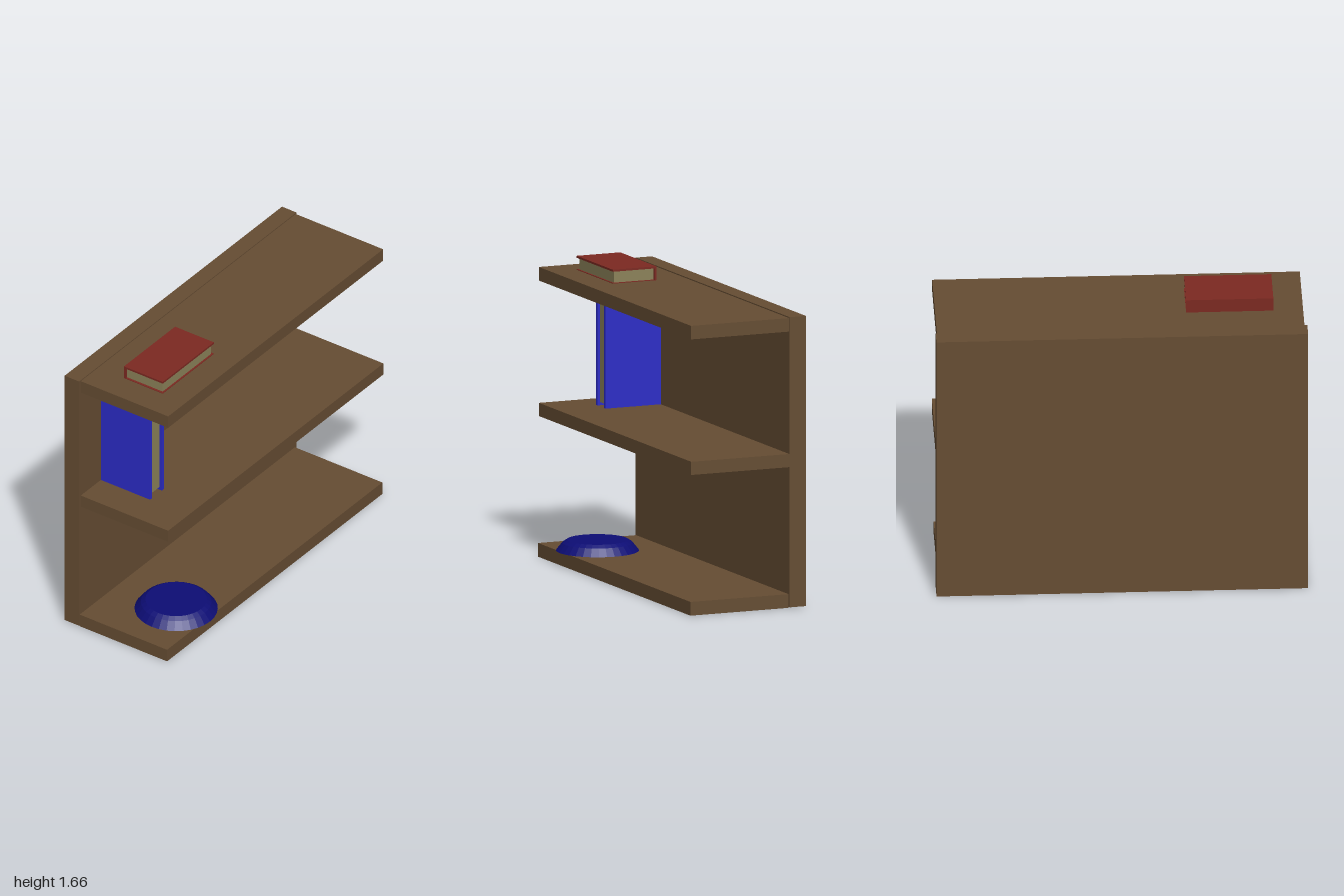
import * as THREE from 'three';

const mat = (name, color) => {
  const m = new THREE.MeshStandardMaterial({ color });
  m.name = name;
  return m;
};

// Box given by its [min, max] extents on each axis
function box(name, material, [x0, x1], [y0, y1], [z0, z1]) {
  const mesh = new THREE.Mesh(new THREE.BoxGeometry(x1 - x0, y1 - y0, z1 - z0), material);
  mesh.position.set((x0 + x1) / 2, (y0 + y1) / 2, (z0 + z1) / 2);
  mesh.name = name;
  return mesh;
}

function group(name, ...parts) {
  const g = new THREE.Group();
  g.name = name;
  g.add(...parts);
  return g;
}

export function createModel() {
  const wood = mat('brown wood', 0x664d33);
  const red = mat('red cover', 0x7c2921);
  const blue = mat('blue cover', 0x2c2cc8);
  const paper = mat('cream paper', 0x8c8259);
  const navy = mat('navy glaze', 0x0d0d75);

  // Back board and three shelves
  const shelves = [
    ['bottomShelf', -0.995, 0.985, 0, 0.075],
    ['middleShelf', -0.985, 0.995, 0.77, 0.842],
    ['topShelf', -0.985, 0.993, 1.51, 1.584],
  ].map(([name, x0, x1, y0, y1]) => box(name, wood, [x0, x1], [y0, y1], [-0.256, 0.323]));
  const bookcase = group('bookcase',
    box('backBoard', wood, [-1, 1], [0.005, 1.59], [-0.352, -0.256]), ...shelves);

  // Upright book with its spine to the back board
  const uprightBook = group('uprightBook',
    box('leftCover', blue, [-0.692, -0.674], [0.842, 1.466], [-0.256, 0.07]),
    box('rightCover', blue, [-0.8, -0.782], [0.842, 1.466], [-0.256, 0.07]),
    box('spine', blue, [-0.782, -0.692], [0.842, 1.466], [-0.256, -0.24]),
    box('pages', paper, [-0.782, -0.692], [0.86, 1.452], [-0.24, 0.055]));

  // Book lying on the top shelf with its spine to the back
  const lyingBook = group('lyingBook',
    box('topCover', red, [-0.825, -0.355], [1.649, 1.66], [-0.085, 0.172]),
    box('bottomCover', red, [-0.825, -0.355], [1.576, 1.587], [-0.085, 0.172]),
    box('spine', red, [-0.825, -0.355], [1.587, 1.649], [-0.085, -0.073]),
    box('pages', paper, [-0.812, -0.366], [1.587, 1.649], [-0.073, 0.162]));

  // Overturned bowl on the bottom shelf
  const profile = [[0, 0], [0.224, 0], [0.19, 0.042], [0.165, 0.058], [0, 0.06]]
    .map(([r, y]) => new THREE.Vector2(r, y));
  const bowlGeometry = new THREE.LatheGeometry(profile, 32).toNonIndexed();
  bowlGeometry.computeVertexNormals();
  const bowl = new THREE.Mesh(bowlGeometry, navy);
  bowl.name = 'bowl';
  bowl.position.set(-0.645, 0.079, 0.131);

  return group('bookshelf', bookcase, uprightBook, lyingBook, bowl);
}
